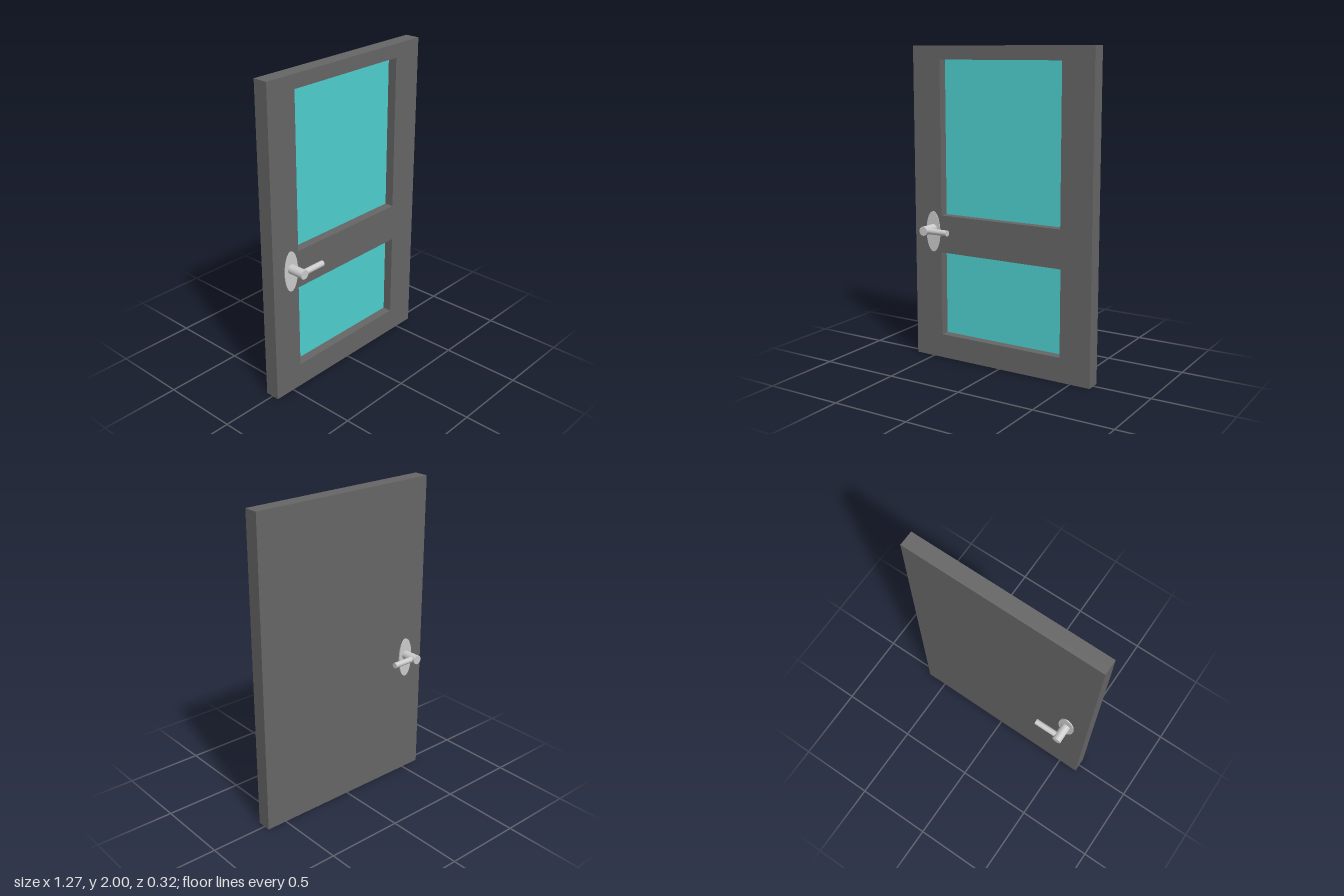
import * as THREE from 'three';

const paint = new THREE.MeshStandardMaterial({ color: 0x666666 });
const glass = new THREE.MeshStandardMaterial({ color: 0x4fd0d0 });
const metal = new THREE.MeshStandardMaterial({ color: 0xcccccc });

const W = 1.265, H = 2, BACK = -0.045, FRONT = 0.05, RECESS = -0.01;
// Panel openings: left, right, bottom, top
const panels = {
  upperPanel: [-0.43, 0.425, 0.94, 1.915],
  lowerPanel: [-0.433, 0.43, 0.7, 1.55 / 10],
};

function add(parent, name, geometry, material, x = 0, y = 0, z = 0) {
  const mesh = new THREE.Mesh(geometry, material);
  mesh.name = name;
  mesh.position.set(x, y, z);
  parent.add(mesh);
  return mesh;
}

function rectPath(Type, x0, x1, y0, y1) {
  return new Type([[x0, y0], [x1, y0], [x1, y1], [x0, y1]].map(([x, y]) => new THREE.Vector2(x, y)));
}

// Lever handle for one face; side is +1 for front, -1 for back
function createHandle(side) {
  const handle = new THREE.Group();
  handle.name = side > 0 ? 'frontHandle' : 'backHandle';
  const x = -0.492, y = 0.85;
  const tip = side > 0 ? 0.16 : 0.164;
  const leverZ = side > 0 ? 0.137 : -0.132;
  const plateFace = side > 0 ? 0.0515 : 0.055;

  // Oval backing plate
  const plate = new THREE.CylinderGeometry(1, 1, 0.03, 40).rotateX(Math.PI / 2).scale(0.053, 0.131, 1);
  add(handle, 'backingPlate', plate, metal, x, 0.831, side * (plateFace - 0.015));

  // Spindle coming out of the door
  const spindle = new THREE.CylinderGeometry(0.029, 0.029, tip - 0.02, 32).rotateX(Math.PI / 2);
  add(handle, 'spindle', spindle, metal, x, y, side * (tip + 0.02) / 2);

  // Lever pointing towards the middle of the door
  const lever = new THREE.CylinderGeometry(0.0185, 0.0185, 0.165, 32).rotateZ(Math.PI / 2);
  add(handle, 'lever', lever, metal, -0.4045, y, leverZ);
  return handle;
}

export function createModel() {
  const model = new THREE.Group();
  model.name = 'door';

  // The leaf stands very slightly ajar
  const leaf = new THREE.Group();
  leaf.name = 'doorLeaf';
  leaf.rotation.y = -0.005;
  model.add(leaf);

  // Frame with two openings
  const outline = rectPath(THREE.Shape, -W / 2, W / 2, 0, H);
  for (const [x0, x1, y0, y1] of Object.values(panels)) {
    outline.holes.push(rectPath(THREE.Path, x0, x1, y0, y1));
  }
  const frame = new THREE.ExtrudeGeometry(outline, { depth: FRONT - RECESS, bevelEnabled: false });
  add(leaf, 'frame', frame, paint, 0, 0, RECESS);

  // Solid back of the door
  const depth = RECESS - BACK;
  add(leaf, 'backBoard', new THREE.BoxGeometry(W, H, depth), paint, 0, H / 2, BACK + depth / 2);

  // Recessed coloured panels
  for (const [name, [x0, x1, y0, y1]] of Object.entries(panels)) {
    const panel = new THREE.PlaneGeometry(x1 - x0, Math.abs(y1 - y0));
    add(leaf, name, panel, glass, (x0 + x1) / 2, (y0 + y1) / 2, RECESS + 0.002);
  }

  model.add(createHandle(1), createHandle(-1));
  return model;
}
